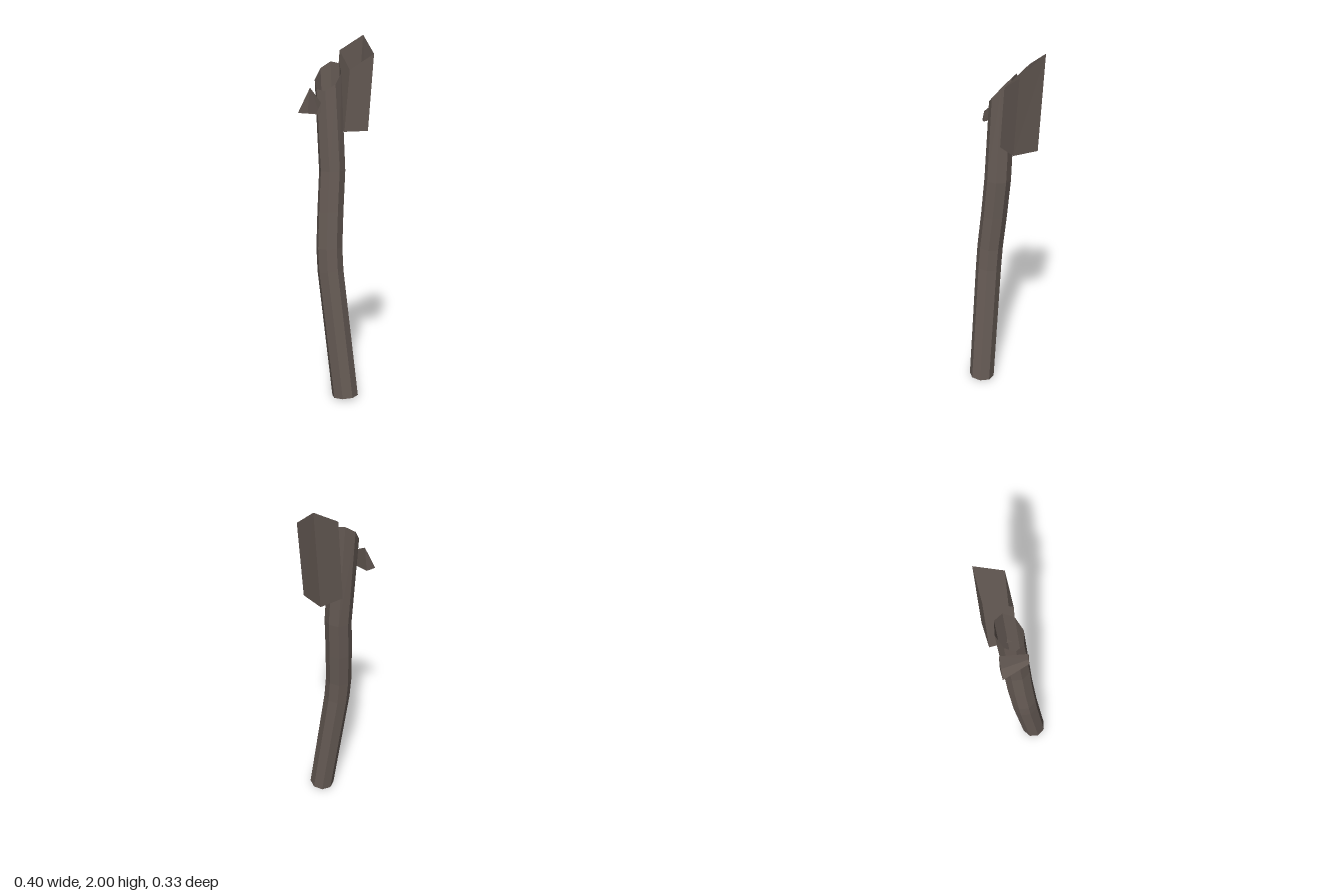
import * as THREE from 'three';

const bark = new THREE.MeshStandardMaterial({ color: 0x665b55, flatShading: true, side: THREE.DoubleSide });
bark.name = 'greyBrownBark';

// Skin a stack of corner rings (counter-clockwise from above), closed below and open above
function openShell(name, rings) {
  const n = rings[0].length;
  const positions = rings.flat(2);
  const index = [];
  for (let r = 0; r < rings.length - 1; r++) {
    for (let i = 0; i < n; i++) {
      const a = r * n + i, b = r * n + (i + 1) % n;
      index.push(a, b, b + n, a, b + n, a + n);
    }
  }
  for (let i = 1; i < n - 1; i++) index.push(0, i + 1, i);
  const geometry = new THREE.BufferGeometry();
  geometry.setAttribute('position', new THREE.Float32BufferAttribute(positions, 3));
  geometry.setIndex(index);
  const flat = geometry.toNonIndexed();
  flat.computeVertexNormals();
  const mesh = new THREE.Mesh(flat, bark);
  mesh.name = name;
  return mesh;
}

// Eight-sided ring; slopeX and slopeZ tilt it
function trunkRing([x, y, z, slopeX = 0, slopeZ = 0]) {
  const ring = [];
  for (let i = 0; i < 8; i++) {
    const a = i * Math.PI / 4, c = Math.cos(a), s = -Math.sin(a);
    ring.push([x + 0.073 * c, y + slopeX * c + slopeZ * s, z + 0.073 * s]);
  }
  return ring;
}

export function createModel() {
  const group = new THREE.Group();
  group.name = 'brokenTrunk';

  // Bent hollow trunk with a slanted broken top
  group.add(openShell('trunk', [
    [-0.072, 0.008, 0.092, 0, 0.008],
    [-0.109, 0.72, 0.004, 0, 0.008],
    [-0.108, 0.85, -0.008, 0, 0.005],
    [-0.09, 1.05, -0.023, 0, 0.004],
    [-0.07, 1.27, -0.034, 0, 0.004],
    [-0.071, 1.777, -0.07, 0.068, -0.042],
  ].map(trunkRing)));

  // Large leaning hollow stub with a sloped open top
  group.add(openShell('largeStub', [
    [[-0.01, 1.48, -0.003], [0.13, 1.48, 0.022], [0.155, 1.48, -0.122], [0.015, 1.48, -0.143]],
    [[0.025, 1.81, -0.003], [0.17, 1.895, 0.02], [0.2, 2, -0.122], [0.055, 1.915, -0.143]],
  ]));

  // Small splinter: a floor with one leaning wall and pointed ends
  group.add(openShell('smallSplinter', [
    [[-0.182, 1.58, -0.018], [-0.16, 1.58, -0.012], [-0.148, 1.58, -0.157], [-0.203, 1.58, -0.167]],
    [[-0.182, 1.58, -0.018], [-0.155, 1.64, -0.01], [-0.133, 1.715, -0.153], [-0.203, 1.58, -0.167]],
  ]));

  return group;
}
